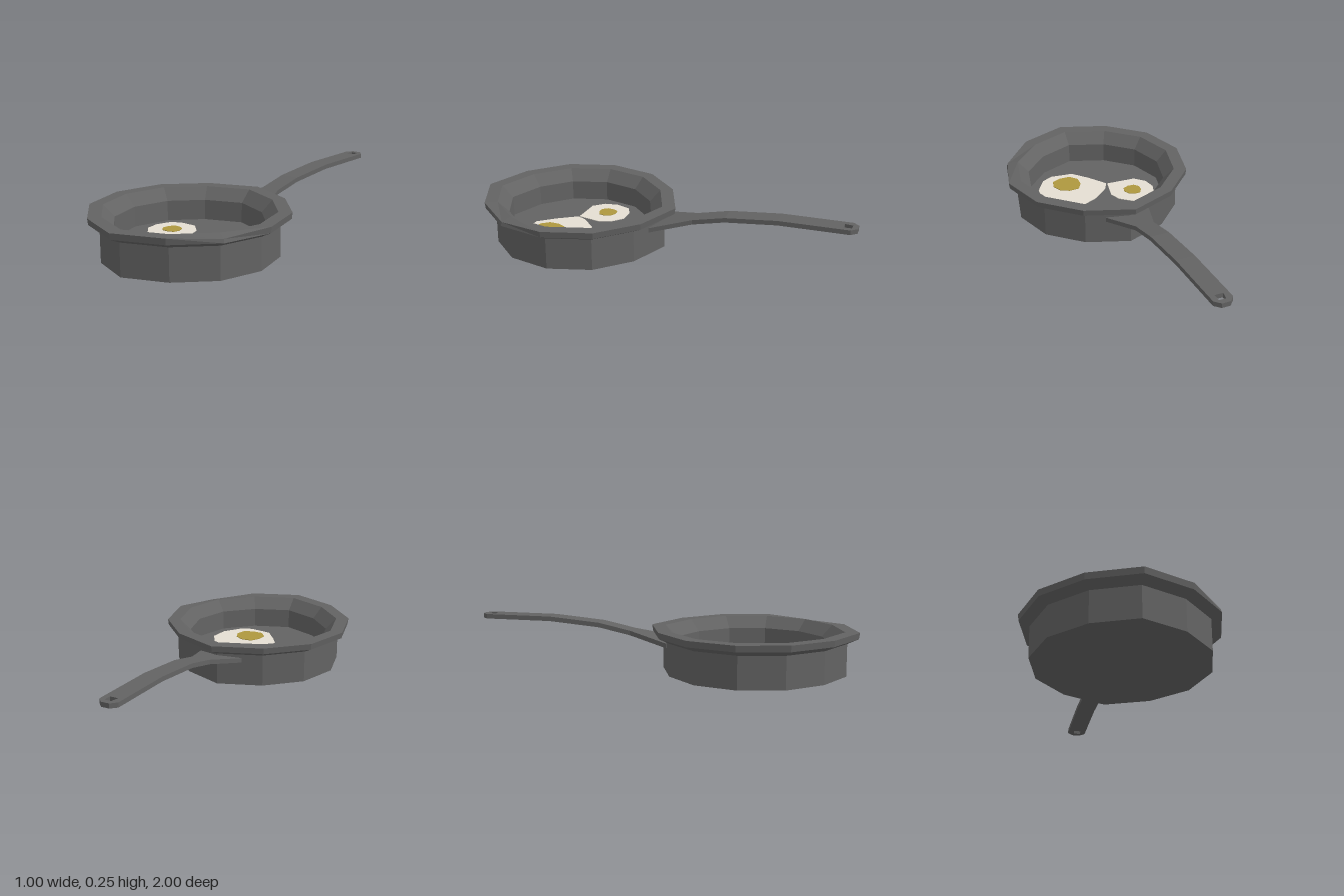
import * as THREE from 'three';

const iron = new THREE.MeshStandardMaterial({ color: 0x636363, flatShading: true });
iron.name = 'cast iron';
const white = new THREE.MeshStandardMaterial({ color: 0xe4ded2 });
white.name = 'egg white';
const yellow = new THREE.MeshStandardMaterial({ color: 0xae983e });
yellow.name = 'egg yolk';

const PAN_Z = 0.467;
const FLOOR_Y = 0.062;

function add(group, geometry, material, name) {
  const mesh = new THREE.Mesh(geometry, material);
  mesh.name = name;
  group.add(mesh);
  return mesh;
}

// Twelve-sided bowl, slightly stretched to a point at front and back
function panGeometry() {
  const profile = [
    [0, 0], [0.443, 0], [0.443, 0.166], [0.496, 0.192], [0.5, 0.224],
    [0.432, 0.224], [0.375, 0.165], [0.372, FLOOR_Y], [0, FLOOR_Y],
  ].map(([r, y]) => new THREE.Vector2(r, y));
  const geo = new THREE.LatheGeometry(profile, 12);
  const p = geo.attributes.position;
  for (let i = 0; i < p.count; i++) {
    const x = p.getX(i), y = p.getY(i), z = p.getZ(i);
    if (Math.abs(x) < 1e-4) p.setZ(i, z * 1.062);
    // small dent in the lip
    if (y > 0.22 && x > 0.43 && x < 0.44 && z > 0.2 && Math.hypot(x, z) > 0.48) {
      p.setXYZ(i, x * 0.98, 0.211, z * 0.98);
    }
  }
  geo.computeVertexNormals();
  return geo;
}

// Bent flat bar: rectangular sections [z, top y, half width] joined in order
function barGeometry(sections, thickness) {
  const pos = [], index = [];
  sections.forEach(([z, y, w]) => {
    pos.push(-w, y, z, w, y, z, w, y - thickness, z, -w, y - thickness, z);
  });
  for (let s = 0; s < sections.length - 1; s++) {
    for (let k = 0; k < 4; k++) {
      const a = s * 4 + k, b = s * 4 + (k + 1) % 4;
      index.push(a, b, b + 4, a, b + 4, a + 4);
    }
  }
  index.push(0, 2, 1, 0, 3, 2);
  const geo = new THREE.BufferGeometry();
  geo.setAttribute('position', new THREE.Float32BufferAttribute(pos, 3));
  geo.setIndex(index);
  geo.computeVertexNormals();
  return geo;
}

// Flat plate from [x, z] outline, lying with its underside at y = 0
function plateGeometry(outline, depth, hole) {
  const toPoints = (list) => list.map(([x, z]) => new THREE.Vector2(x, -z));
  const shape = new THREE.Shape(toPoints(outline));
  if (hole) shape.holes.push(new THREE.Path(toPoints(hole)));
  const geo = new THREE.ExtrudeGeometry(shape, { depth, bevelEnabled: false });
  return geo.rotateX(-Math.PI / 2);
}

// Slightly irregular round outline for a yolk
function yolkOutline(cx, cz, r) {
  return Array.from({ length: 9 }, (_, i) => {
    const a = (i / 9) * Math.PI * 2;
    const k = r * (1 + 0.06 * Math.sin(i * 2.3));
    return [cx + Math.cos(a) * k, cz + Math.sin(a) * k];
  });
}

export function createModel() {
  const model = new THREE.Group();
  model.name = 'frying pan with eggs';

  add(model, panGeometry(), iron, 'pan').position.z = PAN_Z;

  // Handle: flared root, bent bar and pierced tip
  const handle = new THREE.Group();
  handle.name = 'handle';
  model.add(handle);
  const T = 0.024;
  add(handle, barGeometry([
    [0.04, 0.148, 0.122], [-0.17, 0.193, 0.05], [-0.34, 0.228, 0.05],
    [-0.61, 0.25, 0.05], [-0.9, 0.25, 0.05],
  ], T), iron, 'handle bar');
  add(handle, plateGeometry(
    [[-0.05, -0.9], [0.05, -0.9], [0.05, -0.97], [0.022, -1], [-0.022, -1], [-0.05, -0.97]],
    T,
    [[-0.022, -0.93], [-0.014, -0.972], [0.022, -0.972], [0.022, -0.93]],
  ), iron, 'handle tip').position.y = 0.25 - T;

  // Fried eggs
  const eggs = [
    {
      side: 'right', yolk: [-0.19, 0.39, 0.05],
      outline: [[-0.22, 0.275], [-0.14, 0.275], [-0.08, 0.33], [-0.06, 0.39], [-0.09, 0.515],
        [-0.17, 0.51], [-0.25, 0.505], [-0.3, 0.45], [-0.31, 0.38], [-0.28, 0.3]],
    },
    {
      side: 'left', yolk: [0.12, 0.6, 0.08],
      outline: [[0.12, 0.35], [0.24, 0.4], [0.3, 0.5], [0.29, 0.6], [0.23, 0.69], [0.17, 0.72],
        [0.05, 0.705], [-0.02, 0.62], [-0.085, 0.52], [-0.06, 0.47], [0.03, 0.39]],
    },
  ];
  eggs.forEach(({ side, yolk, outline }) => {
    add(model, plateGeometry(outline, 0.003), white, side + ' egg white').position.y = FLOOR_Y;
    add(model, plateGeometry(yolkOutline(...yolk), 0.003), yellow, side + ' egg yolk')
      .position.y = FLOOR_Y + 0.003;
  });

  return model;
}
